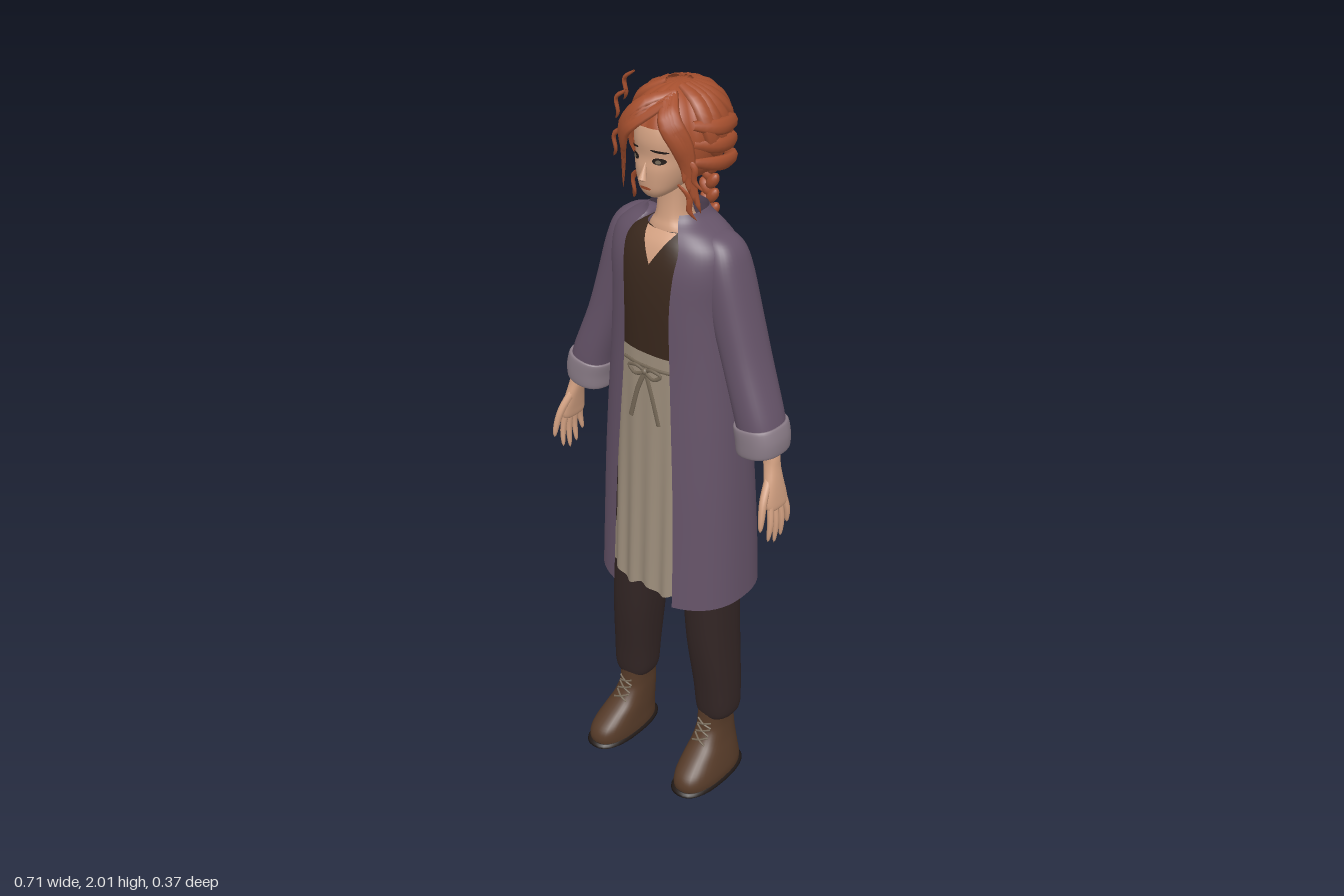
import * as THREE from 'three';
import { mergeVertices } from 'three/addons/utils/BufferGeometryUtils.js';

const mat = (name, color, side = THREE.FrontSide) => {
  const m = new THREE.MeshStandardMaterial({ color, side });
  m.name = name;
  return m;
};
const V = (x, y, z) => new THREE.Vector3(x, y, z);

export function createModel() {
  const model = new THREE.Group();
  model.name = 'woman';
  const D = THREE.DoubleSide;
  const M = {
    hair: mat('copper hair', 0xa54f2e, D), skin: mat('skin', 0xd2a081),
    coat: mat('plum coat', 0x655368, D), cuff: mat('cuff lining', 0x897b86, D),
    shirt: mat('brown shirt', 0x3a281d), apron: mat('linen apron', 0x9c8d7b, D),
    trim: mat('cord', 0x756857), pants: mat('dark trousers', 0x322524),
    boots: mat('boot leather', 0x553a28), dark: mat('dark detail', 0x221a17),
  };
  const add = (name, geo, m, parent = model) => {
    const mesh = new THREE.Mesh(geo, m);
    mesh.name = name;
    parent.add(mesh);
    return mesh;
  };

  // Grid surface from a function of u, v
  const surface = (fn, nu, nv) => {
    const pos = [], idx = [];
    for (let j = 0; j <= nv; j++) for (let i = 0; i <= nu; i++) pos.push(...fn(i / nu, j / nv).toArray());
    for (let j = 0; j < nv; j++) for (let i = 0; i < nu; i++) {
      const a = j * (nu + 1) + i, c = a + nu + 1;
      idx.push(a, a + 1, c, a + 1, c + 1, c);
    }
    let g = new THREE.BufferGeometry();
    g.setAttribute('position', new THREE.Float32BufferAttribute(pos, 3));
    g.setIndex(idx);
    g = mergeVertices(g, 1e-5);
    g.computeVertexNormals();
    return g;
  };

  // Cross-section rows, bottom to top: [y, centre x, half width, front z, back z, front gap]
  const rowAt = (rows, t) => {
    const f = Math.min(t, 0.99999) * (rows.length - 1), i = Math.floor(f), k = f - i;
    const r = (n) => rows[Math.max(0, Math.min(rows.length - 1, n))];
    return rows[0].map((_, c) => {
      const p0 = r(i - 1)[c], p1 = r(i)[c], p2 = r(i + 1)[c], p3 = r(i + 2)[c];
      const m1 = (p2 - p0) / 2, m2 = (p3 - p1) / 2, k2 = k * k, k3 = k2 * k;
      return (2 * k3 - 3 * k2 + 1) * p1 + (k3 - 2 * k2 + k) * m1 + (3 * k2 - 2 * k3) * p2 + (k3 - k2) * m2;
    });
  };
  const N = 2.4;
  const spow = (s) => Math.sign(s) * Math.pow(Math.abs(s), 2 / N);
  const loft = (rows, { nu = 32, nv = rows.length * 4, range, warp } = {}) => surface((u, v) => {
    const [y, cx, rx, zf, zb, gap = 0] = rowAt(rows, v);
    const a0 = gap ? Math.asin(Math.pow(gap / rx, N / 2)) : 0;
    const a = range ? (u * 2 - 1) * range : a0 + u * (2 * Math.PI - 2 * a0);
    const p = V(cx + Math.max(rx, 0) * spow(Math.sin(a)), y, (zf + zb) / 2 + (zf - zb) / 2 * spow(Math.cos(a)));
    if (warp) warp(p, u, v);
    return p;
  }, nu, nv);
  const frontZ = (rows, x, y) => {
    let lo = 0, hi = 1;
    for (let i = 0; i < 24; i++) { const m = (lo + hi) / 2; if (rowAt(rows, m)[0] < y) lo = m; else hi = m; }
    const [, cx, rx, zf, zb] = rowAt(rows, lo);
    const k = Math.min(1, Math.abs(x - cx) / rx);
    return (zf + zb) / 2 + (zf - zb) / 2 * Math.pow(1 - Math.pow(k, N), 1 / N);
  };
  // Thin oval lying on the front of a loft
  const plate = (rows, cx, cy, w, h, off, slant = 0) => surface((u, v) => {
    const a = u * 2 - 1, x = cx + w * a;
    const y = cy + slant * a + h * (v * 2 - 1) * Math.sqrt(Math.max(0, 1 - a * a));
    return V(x, y, frontZ(rows, x, y) + off);
  }, 10, 4);

  // Swept oval strand; its flat side faces away from ref
  const HEAD = V(0, 1.87, 0);
  const lockShape = (v) => Math.pow(Math.abs(Math.sin(Math.PI * (0.12 + 0.88 * v))), 0.7);
  const fingerShape = (v) => Math.sqrt(1 - Math.pow(v, 6)) * (1 - 0.3 * v);
  const strand = (pts, w, h, shape = lockShape, ref = HEAD, nv = 14) => {
    const curve = new THREE.CatmullRomCurve3(pts.map((p) => (p.isVector3 ? p : V(...p))));
    return surface((u, v) => {
      const p = curve.getPoint(v), T = curve.getTangent(v);
      const n = p.clone().sub(ref);
      n.addScaledVector(T, -n.dot(T)).normalize();
      const b = T.clone().cross(n), a = u * Math.PI * 2, s = shape(v);
      return p.addScaledVector(n, Math.cos(a) * h * s).addScaledVector(b, Math.sin(a) * w * s);
    }, 8, nv);
  };

  // Coat, open down the front
  const coat = [[0.61, 0, 0.215, 0.158, -0.18, 0.1], [0.78, 0, 0.21, 0.15, -0.172, 0.097], [0.95, 0, 0.203, 0.143, -0.16, 0.092],
    [1.12, 0, 0.193, 0.135, -0.147, 0.083], [1.3, 0, 0.178, 0.127, -0.128, 0.073], [1.45, 0, 0.168, 0.126, -0.122, 0.07],
    [1.55, 0, 0.172, 0.12, -0.115, 0.076], [1.61, 0, 0.162, 0.105, -0.1, 0.08], [1.645, 0, 0.128, 0.088, -0.085, 0.066],
    [1.668, 0, 0.085, 0.07, -0.075, 0.05], [1.685, 0, 0.07, 0.062, -0.07, 0.046]];
  add('coat', loft(coat, { nu: 48 }), M.coat);

  // Shirt, neckline, neck and apron
  const shirt = [[0.95, 0, 0.15, 0.1, -0.1], [1.15, 0, 0.145, 0.1, -0.1], [1.3, 0, 0.142, 0.108, -0.1], [1.45, 0, 0.145, 0.115, -0.1],
    [1.55, 0, 0.145, 0.108, -0.095], [1.61, 0, 0.12, 0.088, -0.08], [1.64, 0, 0.07, 0.062, -0.05]];
  add('shirt', loft(shirt), M.shirt);
  add('neckline', surface((u, v) => {
    const y = 1.565 + v * 0.075, x = (u * 2 - 1) * 0.045 * v;
    return V(x, y, frontZ(shirt, x, y) + 0.004);
  }, 8, 8), M.skin);
  add('neck', loft([[1.59, 0, 0.075, 0.07, -0.05], [1.64, 0, 0.06, 0.064, -0.045], [1.67, 0, 0.042, 0.056, -0.034],
    [1.72, 0, 0.038, 0.052, -0.03], [1.79, 0, 0.04, 0.055, -0.035]], { nu: 20 }), M.skin);
  const apron = [[0.63, 0, 0.175, 0.142, -0.14], [0.87, 0, 0.168, 0.132, -0.13], [1.1, 0, 0.158, 0.124, -0.12], [1.325, 0, 0.15, 0.117, -0.11]];
  add('apron', loft(apron, {
    nu: 60, range: 1.35,
    warp: (p, u, v) => { p.z += 0.006 * Math.sin(p.x * 110) * (1 - v); p.y += 0.008 * Math.cos(p.x * 55) * (1 - v); },
  }), M.apron);

  // Apron tie with a bow
  const bow = new THREE.Group();
  bow.name = 'apronBow';
  model.add(bow);
  const behind = V(0, 1.27, -3), even = () => 1;
  add('waistCord', strand([-0.08, -0.04, 0, 0.04, 0.08].map((x) => [x, 1.29, frontZ(apron, x, 1.29) + 0.002]), 0.005, 0.003, even, behind), M.trim, bow);
  add('knot', new THREE.SphereGeometry(0.009, 12, 8), M.trim, bow).position.set(0, 1.28, 0.126);
  for (const s of [-1, 1]) {
    add('bowLoop', strand([[0, 1.28, 0.126], [s * 0.025, 1.292, 0.131], [s * 0.05, 1.283, 0.128], [s * 0.03, 1.268, 0.131], [0, 1.278, 0.128]], 0.005, 0.003, even, behind, 24), M.trim, bow);
    add('bowTail', strand([[0, 1.28, 0.126], [s * 0.02, 1.23, 0.13], [s * 0.045, 1.14, 0.13]], 0.007, 0.003, even, behind), M.trim, bow);
  }

  for (const s of [-1, 1]) {
    const side = s > 0 ? 'left' : 'right';
    const mir = (rows) => rows.map((r) => [r[0], r[1] * s, ...r.slice(2)]);

    // Sleeve and turned-back cuff
    add(side + 'Sleeve', loft(mir([[1.17, 0.273, 0.057, 0.07, -0.052], [1.22, 0.259, 0.057, 0.07, -0.055], [1.34, 0.215, 0.055, 0.064, -0.066],
      [1.45, 0.18, 0.056, 0.063, -0.07], [1.56, 0.148, 0.056, 0.062, -0.07], [1.615, 0.13, 0.052, 0.05, -0.06],
      [1.642, 0.115, 0.034, 0.03, -0.04], [1.65, 0.105, 0, -0.004, -0.006]])), M.coat);
    add(side + 'Cuff', loft(mir([[1.112, 0.281, 0.05, 0.066, -0.046], [1.115, 0.28, 0.06, 0.076, -0.056], [1.15, 0.278, 0.063, 0.078, -0.058],
      [1.185, 0.27, 0.062, 0.076, -0.058], [1.187, 0.269, 0.055, 0.068, -0.05]]), {
      warp: (p) => { p.y += (Math.abs(p.x) - 0.275) * 0.15; },
    }), M.cuff);

    // Forearm, palm, fingers
    const hand = new THREE.Group();
    hand.name = side + 'Hand';
    model.add(hand);
    add('palm', loft(mir([[0.972, 0.342, 0, 0.03, 0.028], [0.98, 0.341, 0.012, 0.064, -0.008], [1.01, 0.337, 0.015, 0.069, -0.008],
      [1.05, 0.33, 0.017, 0.061, 0], [1.09, 0.321, 0.019, 0.049, 0.004], [1.13, 0.312, 0.022, 0.044, 0], [1.24, 0.275, 0.03, 0.042, -0.02]]), { nu: 20 }), M.skin, hand);
    const ref = V(0, 1, 0.03);
    for (let i = 0; i < 4; i++) {
      const z = 0.055 - i * 0.0175, dz = 0.012 - i * 0.0085, len = [0.11, 0.125, 0.118, 0.09][i];
      add('finger', strand([[s * 0.34, 1.0, z], [s * 0.348, 1 - len / 2, z + dz * 0.6], [s * 0.345, 1 - len, z + dz]], 0.0095, 0.0095, fingerShape, ref), M.skin, hand);
    }
    add('thumb', strand([[s * 0.326, 1.06, 0.045], [s * 0.336, 1.015, 0.078], [s * 0.342, 0.975, 0.092], [s * 0.345, 0.935, 0.1]], 0.012, 0.011, fingerShape, ref), M.skin, hand);

    // Trouser leg
    add(side + 'TrouserLeg', loft(mir([[0.19, 0.144, 0.042, 0.052, -0.045], [0.215, 0.147, 0.057, 0.06, -0.056], [0.3, 0.143, 0.06, 0.067, -0.062],
      [0.45, 0.131, 0.063, 0.083, -0.07], [0.62, 0.12, 0.066, 0.09, -0.077], [0.8, 0.098, 0.08, 0.1, -0.09], [1.0, 0.085, 0.08, 0.098, -0.095]])), M.pants);

    // Boot, sole and laces
    const boot = mir([[0.008, 0.156, 0.058, 0.178, -0.058], [0.03, 0.156, 0.059, 0.18, -0.058], [0.055, 0.154, 0.056, 0.168, -0.056], [0.085, 0.15, 0.051, 0.132, -0.054],
      [0.115, 0.146, 0.046, 0.092, -0.052], [0.15, 0.143, 0.043, 0.066, -0.05], [0.18, 0.142, 0.042, 0.06, -0.048], [0.215, 0.142, 0.044, 0.058, -0.047]]);
    add(side + 'Boot', loft(boot), M.boots);
    add(side + 'Sole', loft(mir([[0, 0.156, 0, 0.061, 0.059], [0, 0.156, 0.059, 0.18, -0.06], [0.012, 0.156, 0.06, 0.182, -0.06], [0.013, 0.156, 0.057, 0.178, -0.057]]), { nv: 9 }), M.dark);
    for (let i = 0; i < 3; i++) for (const d of [-1, 1]) {
      const pts = [-1, 0, 1].map((k) => {
        const x = s * 0.144 + k * 0.022, y = 0.128 + i * 0.022 + k * d * 0.009;
        return [x, y, frontZ(boot, x, y) + 0.002];
      });
      add('lace', strand(pts, 0.0028, 0.0028, even, V(0, 0.1, -2), 6), M.trim);
    }
  }

  // Head and face
  const head = [[1.733, 0, 0, 0.085, 0.083], [1.738, 0, 0.022, 0.102, 0.045], [1.755, 0, 0.042, 0.114, 0], [1.78, 0, 0.057, 0.118, -0.05], [1.81, 0, 0.066, 0.119, -0.07],
    [1.84, 0, 0.071, 0.115, -0.085], [1.88, 0, 0.074, 0.118, -0.092], [1.92, 0, 0.07, 0.108, -0.088], [1.955, 0, 0.05, 0.08, -0.065], [1.975, 0, 0, 0.001, -0.001]];
  add('head', loft(head), M.skin);
  const nose = add('nose', new THREE.ConeGeometry(0.011, 0.045, 12), M.skin);
  nose.position.set(0, 1.81, 0.121);
  nose.rotation.x = -0.3;
  add('noseTip', new THREE.SphereGeometry(0.009, 12, 8), M.skin).position.set(0, 1.793, 0.127);
  add('mouth', plate(head, 0, 1.765, 0.017, 0.004, 0.003), M.hair);
  for (const s of [-1, 1]) {
    add('eye', plate(head, s * 0.034, 1.836, 0.015, 0.008, 0.003), M.dark);
    add('iris', plate(head, s * 0.034, 1.835, 0.006, 0.005, 0.005), M.trim);
    add('eyebrow', plate(head, s * 0.036, 1.86, 0.019, 0.003, 0.004, -s * 0.003), M.dark);
  }

  // Hair cap with ridges, cut away around the face
  const hair = new THREE.Group();
  hair.name = 'hair';
  model.add(hair);
  const onCap = (a, p, r) => {
    const sp = p > Math.PI / 2 ? Math.pow(Math.sin(p), 0.55) : Math.sin(p);
    return V(0.107 * r * sp * Math.sin(a), 1.877 + 0.112 * r * Math.cos(p), -0.004 + 0.125 * r * sp * Math.cos(a));
  };
  add('hairCap', surface((u, v) => {
    const a = u * Math.PI * 2, off = Math.min(a, Math.PI * 2 - a);
    const limit = 1.25 + 1.3 * THREE.MathUtils.smoothstep(off, 0.55, 1.15);
    const p = (1 - v) * limit;
    return onCap(a, p, 1 + 0.04 * Math.abs(Math.sin(a * 6)) * Math.sin(p));
  }, 96, 24), M.hair, hair);

  // Locks drawn back to the nape
  for (let i = 0; i < 13; i++) {
    const a = 1.0 + i * (2 * Math.PI - 2) / 12;
    const pts = [0.25, 0.75, 1.25, 1.75, 2.2].map((p, k) => onCap(a + (Math.PI - a) * 0.1 * k + 0.12 * Math.sin(k * 1.7 + i), p, 1.02));
    add('backLock', strand(pts, 0.024, 0.014), M.hair, hair);
  }
  for (const s of [-1, 1]) for (let k = 0; k < 3; k++) {
    const y = 1.8 + k * 0.045;
    add('sweptLock', strand([[s * 0.09, y + 0.03, 0.055], [s * 0.114, y + 0.015, -0.01], [s * 0.09, y, -0.09], [s * 0.02, 1.79 + k * 0.025, -0.134]], 0.021, 0.014), M.hair, hair);
  }

  // Fringe parted on one side, with loose ends
  for (let k = 0; k < 5; k++) {
    const d = k * 0.011;
    add('fringeLock', strand([[0.035, 1.985 - d * 0.4, 0.05 + d], [-0.02 - d * 0.2, 1.963 - d, 0.105 + d * 0.45], [-0.07 + d * 0.3, 1.9 - d * 0.2, 0.115 + d * 0.15],
      [-0.094 + d * 0.4, 1.82 + d * 0.5, 0.085 + d * 0.5], [-0.11 + d * 0.7, 1.715 + d * 2.6, 0.07 + d * 0.7]], 0.019, 0.009), M.hair, hair);
  }
  for (let k = 0; k < 4; k++) {
    const d = k * 0.011;
    add('sideLock', strand([[0.03, 1.985 - d * 0.4, 0.05 + d], [0.07 - d * 0.4, 1.945 - d * 0.3, 0.1 + d * 0.5], [0.094 - d * 0.3, 1.88, 0.085 + d * 0.5],
      [0.096 - d * 0.2, 1.79 + d, 0.07 + d * 0.3], [0.115 - d * 0.8, 1.71 + d * 2.4, 0.055 + d]], 0.018, 0.009), M.hair, hair);
  }
  const wisps = [[-0.14, 1.88, 0.06], [-0.135, 1.92, 0.035], [-0.125, 1.8, 0.085], [-0.095, 1.69, 0.05], [0.125, 1.77, 0.06], [0.09, 1.68, 0.04]];
  for (const [x, y, z] of wisps) {
    add('wisp', strand([[x * 0.6, y + 0.09, z + 0.025], [x * 0.88, y + 0.06, z + 0.015], [x * 0.86, y + 0.025, z + 0.012], [x, y, z]], 0.008, 0.005), M.hair, hair);
  }

  // Braid of alternating lobes, ending in a tied tuft
  const braid = new THREE.CatmullRomCurve3([V(0, 1.8, -0.128), V(0, 1.68, -0.118), V(0, 1.56, -0.134), V(0, 1.45, -0.147), V(0, 1.36, -0.142)]);
  for (let i = 0; i < 26; i++) {
    const t = i / 25, s = i % 2 ? 1 : -1, r = 1 - 0.35 * t, p = braid.getPoint(t);
    const lobe = add('braidLobe', new THREE.SphereGeometry(0.02 * r, 12, 8), M.hair, hair);
    lobe.position.set(p.x + s * 0.011 * r, p.y, p.z);
    lobe.scale.set(0.78, 1.35, 0.8);
    lobe.rotation.z = -s * 0.6;
  }
  add('braidTie', new THREE.CylinderGeometry(0.011, 0.011, 0.014, 12), M.hair, hair).position.set(0, 1.348, -0.141);
  add('braidTuft', strand([[0, 1.352, -0.141], [0, 1.325, -0.138], [0, 1.29, -0.13]], 0.018, 0.014, lockShape, V(0, 1.3, 1)), M.hair, hair);

  return model;
}
